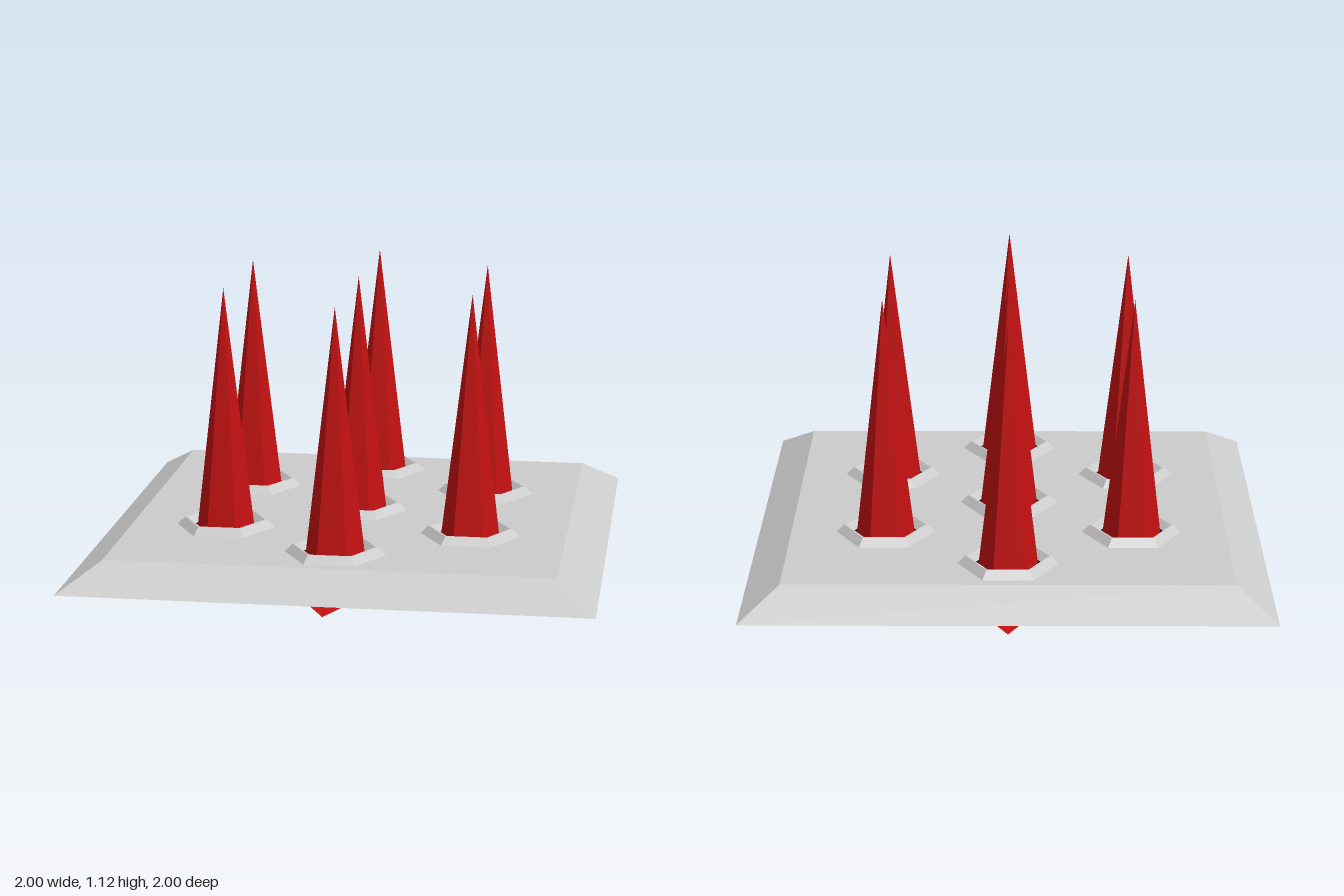
import * as THREE from 'three';

const material = (color) => new THREE.MeshStandardMaterial({ color, flatShading: true, side: THREE.DoubleSide });
const grey = material(0xcccccc);
const red = material(0xc41010);
const black = material(0x080404);

function add(parent, name, geometry, mat) {
  const mesh = new THREE.Mesh(geometry, mat);
  mesh.name = name;
  parent.add(mesh);
  return mesh;
}

// Six- or eight-sided surface from [radius, y] pairs
const ring = (points, sides, turn) =>
  new THREE.LatheGeometry(points.map(([r, y]) => new THREE.Vector2(r, y)), sides).rotateY(turn);

const polar = (r, y, a) => [r * Math.sin(a), y, r * Math.cos(a)];

export function createModel() {
  const model = new THREE.Group();
  const spots = [[0, 0], [0, 0.64], [0, -0.64]];
  for (const x of [-0.48, 0.48]) for (const z of [-0.32, 0.32]) spots.push([x, z]);

  // Hollow plate: top with hexagonal openings and four sloping sides
  const top = new THREE.Shape([[-1, -1], [1, -1], [1, 1], [-1, 1]].map(([x, y]) => new THREE.Vector2(x * 0.85, y * 0.85)));
  for (const [x, z] of spots) {
    const hole = [];
    for (let i = 0; i < 6; i++) {
      const a = -i * Math.PI / 3;
      hole.push(new THREE.Vector2(x + 0.192 * Math.cos(a), -z + 0.192 * Math.sin(a)));
    }
    top.holes.push(new THREE.Path(hole));
  }
  const plate = new THREE.Group();
  plate.name = 'plate';
  model.add(plate);
  add(plate, 'plateTop', new THREE.ShapeGeometry(top).rotateX(-Math.PI / 2).translate(0, 0.175, 0), grey);
  const sides = new THREE.CylinderGeometry(0.85 * Math.SQRT2, Math.SQRT2, 0.1, 4, 1, true);
  add(plate, 'plateSides', sides.rotateY(Math.PI / 4).translate(0, 0.125, 0), grey);

  // Spikes, each in a bevelled collar with a dark lining
  const collar = ring([[0.193, 0.175], [0.163, 0.205], [0.155, 0.205], [0.126, 0.178]], 6, Math.PI / 6);
  const lining = ring([[0.126, 0.178], [0.112, 0.165]], 6, Math.PI / 6);
  const spike = new THREE.ConeGeometry(0.114, 0.955, 6, 1, true).rotateY(Math.PI / 6).translate(0, 0.6425, 0);
  for (const [x, z] of spots) {
    const unit = new THREE.Group();
    unit.name = 'spikeUnit';
    unit.position.set(x, 0, z);
    add(unit, 'collar', collar, grey);
    add(unit, 'lining', lining, black);
    add(unit, 'spike', spike, red);
    model.add(unit);
  }

  // Eight-sided hub below the plate, slightly dished in the middle
  const star = new THREE.Group();
  star.name = 'undersideStar';
  model.add(star);
  add(star, 'hub', ring([[0, 0.02], [0.34, 0], [0.65, 0.072], [0, 0.072]], 8, Math.PI / 8), grey);

  // Radial points: flat upper face and two lower faces meeting in a keel
  for (let i = 0; i < 8; i++) {
    const a = i * Math.PI / 4;
    const left = polar(0.65, 0.072, a + Math.PI / 8);
    const right = polar(0.65, 0.072, a - Math.PI / 8);
    const tip = polar(0.97, 0.027, a);
    const keel = polar(0.385, 0.014, a);
    const geometry = new THREE.BufferGeometry();
    const corners = [right, tip, left, left, tip, keel, keel, tip, right];
    geometry.setAttribute('position', new THREE.Float32BufferAttribute(corners.flat(), 3));
    geometry.computeVertexNormals();
    add(star, 'starPoint', geometry, red);
  }
  return model;
}
